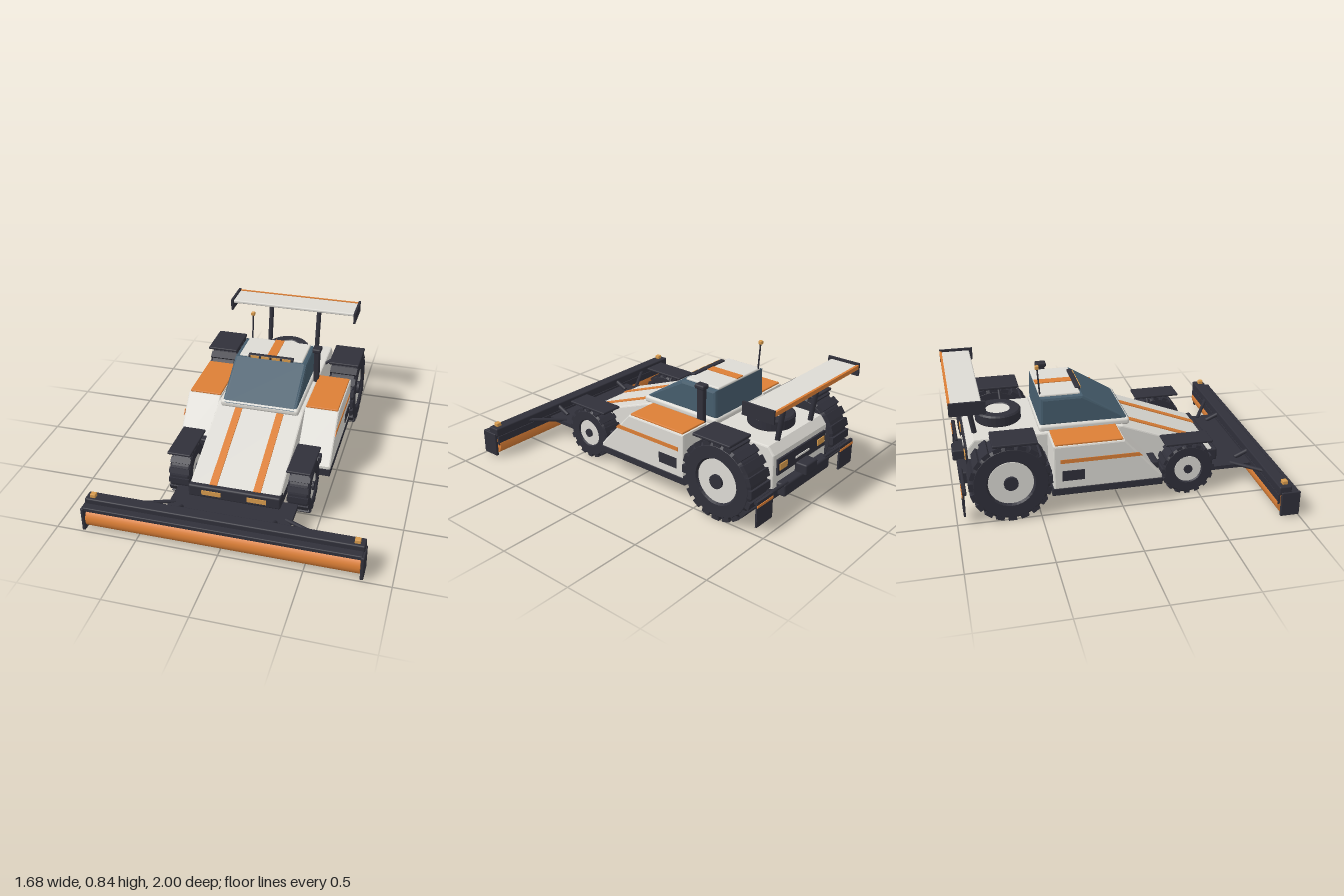
import * as THREE from 'three';
import { RoundedBoxGeometry } from 'three/addons/geometries/RoundedBoxGeometry.js';

const mat = (name, color) => Object.assign(new THREE.MeshStandardMaterial({ color }), { name });

export function createModel() {
  const white = mat('off white', 0xdcdad4);
  const orange = mat('orange', 0xdc7f36);
  const dark = mat('charcoal', 0x30303a);
  const glass = mat('tinted glass', 0x465d6d);
  const amber = mat('amber lamp', 0xd79a4c);

  const root = new THREE.Group();
  root.name = 'plowBuggy';

  const add = (name, geo, m, parent = root) => {
    const mesh = new THREE.Mesh(geo, m);
    mesh.name = name;
    parent.add(mesh);
    return mesh;
  };
  // Box given by its extents on each axis
  const box = (name, m, [x0, x1], [y0, y1], [z0, z1], r = 0) => {
    const s = [x1 - x0, y1 - y0, z1 - z0];
    const geo = r ? new RoundedBoxGeometry(...s, 2, r) : new THREE.BoxGeometry(...s);
    const mesh = add(name, geo, m);
    mesh.position.set((x0 + x1) / 2, (y0 + y1) / 2, (z0 + z1) / 2);
    return mesh;
  };
  // Same box on one side, s = 1 left or -1 right
  const sideBox = (s, name, m, [x0, x1], y, z, r) =>
    box(name, m, s > 0 ? [x0, x1] : [-x1, -x0], y, z, r);
  // Side profile of [z, y] points extruded across x
  const slab = (name, m, pts, width, cx = 0, bevel = 0.01) => {
    const shape = new THREE.Shape(pts.map(p => new THREE.Vector2(...p)));
    const geo = new THREE.ExtrudeGeometry(shape, {
      depth: width - 2 * bevel, bevelEnabled: true, bevelSize: bevel,
      bevelThickness: bevel, bevelOffset: -bevel, bevelSegments: 2,
    });
    geo.rotateY(-Math.PI / 2).translate(cx + width / 2 - bevel, 0, 0);
    return add(name, geo, m);
  };
  const rod = (name, m, a, b, r) => {
    const A = new THREE.Vector3(...a), B = new THREE.Vector3(...b);
    const mesh = add(name, new THREE.CylinderGeometry(r, r, A.distanceTo(B), 10), m);
    mesh.position.copy(A).lerp(B, 0.5);
    mesh.quaternion.setFromUnitVectors(new THREE.Vector3(0, 1, 0), B.sub(A).normalize());
    return mesh;
  };
  // Tyre, rim and hub around the y axis
  const wheelCore = (g, R, rim, w) => {
    const h = w / 2, c = R * 0.07;
    const profile = [[rim, -h * 0.8], [rim * 1.08, -h], [R - c, -h], [R, -h + c],
      [R, h - c], [R - c, h], [rim * 1.08, h], [rim, h * 0.8]];
    const tyre = new THREE.LatheGeometry(profile.map(p => new THREE.Vector2(...p)), 32).toNonIndexed();
    tyre.computeVertexNormals();
    add('tyre', tyre, dark, g);
    add('rim', new THREE.CylinderGeometry(rim, rim, w * 0.86, 32), white, g);
    add('hub', new THREE.CylinderGeometry(rim * 0.32, rim * 0.32, w * 1.04, 16), dark, g);
  };
  const wheel = (name, x, y, z, R, rim, w, lugs) => {
    const g = new THREE.Group();
    g.name = name;
    wheelCore(g, R * 0.95, rim, w);
    const lug = new THREE.BoxGeometry(R * 0.12, w * 0.98, R * 0.2);
    for (let i = 0; i < lugs; i++) {
      const a = (i / lugs) * Math.PI * 2;
      const t = add('treadLug', lug, dark, g);
      t.position.set(Math.cos(a) * R * 0.935, 0, Math.sin(a) * R * 0.935);
      t.rotation.y = -a;
    }
    g.rotation.z = Math.PI / 2;
    g.position.set(x, y, z);
    root.add(g);
  };

  // Chassis and hull
  box('chassis', dark, [-0.28, 0.28], [0.12, 0.18], [-0.91, 0.62]);
  slab('hull', white, [[0.65, 0.17], [0.65, 0.21], [0.05, 0.44], [-0.86, 0.44], [-0.9, 0.39], [-0.9, 0.17]], 0.56);
  box('noseBumper', dark, [-0.285, 0.285], [0.135, 0.215], [0.59, 0.67], 0.012);

  // Cabin
  box('cabinBelt', white, [-0.255, 0.255], [0.43, 0.475], [-0.465, 0.1], 0.018);
  slab('cabinGlass', glass, [[0.1, 0.465], [-0.19, 0.648], [-0.45, 0.648], [-0.455, 0.465]], 0.48, 0, 0.018);
  box('roof', white, [-0.21, 0.21], [0.64, 0.66], [-0.45, -0.2], 0.008);
  box('roofStripe', orange, [-0.03, 0.03], [0.657, 0.664], [-0.448, -0.21]);
  box('lightBar', dark, [-0.15, 0.15], [0.648, 0.67], [-0.22, -0.188], 0.006);
  for (let i = 0; i < 4; i++) {
    const x = -0.105 + i * 0.07;
    box('roofLamp', amber, [x - 0.027, x + 0.027], [0.652, 0.667], [-0.189, -0.183]);
  }

  // Intake stack and aerial
  box('intakeStack', dark, [0.252, 0.288], [0.43, 0.67], [-0.395, -0.345], 0.008);
  box('intakeCap', dark, [0.242, 0.298], [0.655, 0.685], [-0.405, -0.335], 0.01);
  rod('aerial', dark, [-0.19, 0.45, -0.43], [-0.19, 0.83, -0.457], 0.005);
  box('aerialTip', amber, [-0.202, -0.178], [0.82, 0.844], [-0.47, -0.446], 0.005);

  // Spare wheel on the rear deck
  const spare = new THREE.Group();
  spare.name = 'spareWheel';
  wheelCore(spare, 0.143, 0.075, 0.075);
  spare.children[2].visible = false;
  spare.remove(spare.children[2]);
  spare.position.set(0, 0.474, -0.685);
  root.add(spare);

  // Rear wing
  box('wing', white, [-0.435, 0.435], [0.722, 0.744], [-0.99, -0.81], 0.008);
  box('wingTrailingEdge', orange, [-0.435, 0.435], [0.722, 0.748], [-1, -0.986]);

  // Tail panel, bumper and hitch
  box('tailPanel', dark, [-0.25, 0.25], [0.26, 0.36], [-0.912, -0.89]);
  box('tailGrille', white, [-0.07, 0.07], [0.3, 0.312], [-0.917, -0.91]);
  box('rearBumper', dark, [-0.24, 0.24], [0.13, 0.21], [-0.96, -0.89], 0.012);
  box('hitch', dark, [-0.06, 0.06], [0.2, 0.27], [-0.985, -0.9], 0.01);

  // Plow head: roller under a hood and beam
  const roller = add('roller', new THREE.CylinderGeometry(0.066, 0.066, 1.63, 24), orange);
  roller.rotation.z = Math.PI / 2;
  roller.position.set(0, 0.083, 0.928);
  box('plowHood', dark, [-0.825, 0.825], [0.145, 0.172], [0.88, 0.992], 0.006);
  box('plowBeam', dark, [-0.83, 0.83], [0.15, 0.205], [0.867, 0.945], 0.008);
  box('plowBackRail', dark, [-0.82, 0.82], [0.09, 0.15], [0.866, 0.88]);
  box('plowMount', dark, [-0.375, 0.375], [0.113, 0.137], [0.59, 0.87]);

  for (const s of [1, -1]) {
    // Hood stripe, laid along the slope
    slab('hoodStripe', orange, [[0.64, 0.212], [0.64, 0.22], [0.06, 0.4425], [0.06, 0.4345]], 0.046, s * 0.135, 0.001);

    // Side pod
    slab('sidePod', white, [[0.245, 0.165], [0.245, 0.19], [0.01, 0.45], [-0.42, 0.45], [-0.42, 0.165]], 0.22, s * 0.387);
    slab('podSkirt', dark, [[0.25, 0.125], [0.25, 0.172], [-0.43, 0.172], [-0.43, 0.125]], 0.222, s * 0.387, 0.005);
    sideBox(s, 'podCover', orange, [0.282, 0.488], [0.447, 0.461], [-0.408, 0.002], 0.005);
    sideBox(s, 'podStripe', orange, [0.495, 0.5], [0.337, 0.362], [-0.38, 0.085]);
    slab('podStripeTip', orange, [[0.12, 0.337], [0.095, 0.362], [0.08, 0.362], [0.08, 0.337]], 0.005, s * 0.4975, 0.0005);
    sideBox(s, 'podVent', dark, [0.494, 0.502], [0.222, 0.287], [-0.37, -0.235]);
    sideBox(s, 'podIntake', dark, [0.305, 0.435], [0.2, 0.25], [0.17, 0.24], 0.01);

    // Wheels, axles and flat fenders
    wheel('rearWheel', s * 0.425, 0.25, -0.675, 0.248, 0.135, 0.185, 20);
    wheel('frontWheel', s * 0.37, 0.172, 0.43, 0.168, 0.085, 0.13, 16);
    rod('rearAxle', dark, [s * 0.2, 0.25, -0.675], [s * 0.42, 0.25, -0.675], 0.03);
    rod('frontAxle', dark, [s * 0.2, 0.172, 0.43], [s * 0.37, 0.172, 0.43], 0.025);
    sideBox(s, 'rearFender', dark, [0.325, 0.528], [0.492, 0.51], [-0.775, -0.51], 0.006);
    sideBox(s, 'frontFender', dark, [0.295, 0.442], [0.344, 0.36], [0.28, 0.58], 0.006);
    rod('rearFenderStay', dark, [s * 0.26, 0.41, -0.64], [s * 0.36, 0.495, -0.64], 0.009);
    rod('frontFenderStay', dark, [s * 0.26, 0.27, 0.365], [s * 0.32, 0.348, 0.365], 0.009);

    // Mud flap behind the rear wheel
    sideBox(s, 'mudFlap', dark, [0.36, 0.51], [0.06, 0.22], [-0.96, -0.948]);
    sideBox(s, 'mudFlapStripe', orange, [0.36, 0.51], [0.185, 0.2], [-0.964, -0.958]);
    rod('mudFlapArm', dark, [s * 0.2, 0.21, -0.945], [s * 0.51, 0.21, -0.945], 0.01);

    // Lamps
    sideBox(s, 'headlamp', amber, [0.08, 0.2], [0.16, 0.19], [0.668, 0.676]);
    sideBox(s, 'tailLamp', amber, [0.16, 0.235], [0.29, 0.33], [-0.918, -0.91]);

    // Wing struts and end plates
    rod('wingStrut', dark, [s * 0.172, 0.42, -0.845], [s * 0.172, 0.728, -0.893], 0.016);
    sideBox(s, 'wingEndPlate', dark, [0.432, 0.446], [0.678, 0.757], [-1, -0.79]);

    // Plow end plates, markers and push arms
    sideBox(s, 'plowEndPlate', dark, [0.818, 0.838], [0.012, 0.168], [0.882, 1], 0.006);
    sideBox(s, 'plowMarker', amber, [0.768, 0.802], [0.203, 0.228], [0.895, 0.928], 0.004);
    rod('diagonalArm', dark, [s * 0.34, 0.135, 0.745], [s * 0.57, 0.175, 0.885], 0.012);
    rod('pushArm', dark, [s * 0.285, 0.14, 0.79], [s * 0.285, 0.185, 0.89], 0.014);
  }
  return root;
}
